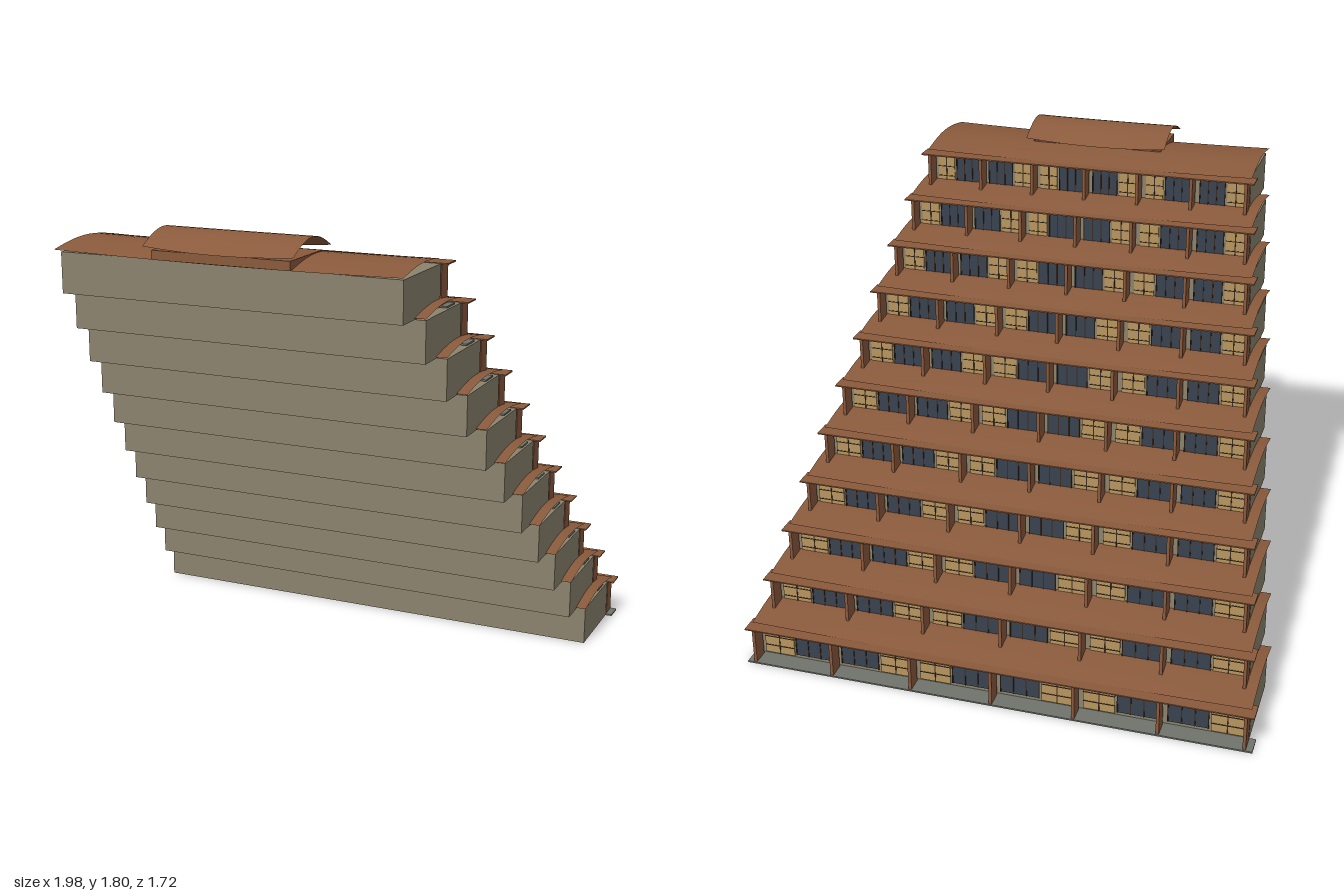
import * as THREE from 'three';

const mat = (name, color, side = THREE.FrontSide) => {
  const m = new THREE.MeshStandardMaterial({ color, side });
  m.name = name;
  return m;
};

export function createModel() {
  const wall = mat('stone wall', 0x8b836d);
  const timber = mat('brown timber', 0x8a5a3c);
  const tile = mat('brown roof', 0x8a5a3c, THREE.DoubleSide);
  tile.name = 'brown roof';
  const glass = mat('dark glass', 0x39424f);
  const panel = mat('tan panel', 0xb8965f);
  const frame = mat('dark frame', 0x3a2a20);
  const terrace = mat('grey terrace', 0x6f746c);

  const model = new THREE.Group();
  model.name = 'steppedBuilding';

  // box given by its min and max corners
  function box(parent, name, material, x0, x1, y0, y1, z0, z1) {
    const mesh = new THREE.Mesh(new THREE.BoxGeometry(x1 - x0, y1 - y0, z1 - z0), material);
    mesh.position.set((x0 + x1) / 2, (y0 + y1) / 2, (z0 + z1) / 2);
    mesh.name = name;
    parent.add(mesh);
    return mesh;
  }

  // arched sheet whose eaves lift towards both ends
  function archedRoof(parent, name, half, z0, z1, y, rise, lift) {
    const geo = new THREE.PlaneGeometry(2 * half, z1 - z0, 12, 14);
    geo.rotateX(-Math.PI / 2);
    const p = geo.attributes.position;
    for (let i = 0; i < p.count; i++) {
      const u = p.getX(i) / half;
      const arch = Math.cos((p.getZ(i) / (z1 - z0)) * Math.PI);
      p.setY(i, rise * arch + lift * u * u * (1 - arch));
    }
    geo.computeVertexNormals();
    const mesh = new THREE.Mesh(geo, tile);
    mesh.position.set(0, y, (z0 + z1) / 2);
    mesh.name = name;
    parent.add(mesh);
  }

  const floors = 11, bays = 6, pitch = 0.1545;
  for (let i = 0; i < floors; i++) {
    const floor = new THREE.Group();
    floor.name = 'floor' + (i + 1);
    floor.position.set(0, i * pitch, i * 0.1255);
    model.add(floor);
    const w = 0.965 - i * 0.031;

    // body, terrace and flat eave
    box(floor, 'body', wall, -w, w, 0.002, 0.152, -0.785, -0.45);
    box(floor, 'terraceSlab', terrace, -w - 0.025, w + 0.025, 0, 0.006, -0.862, -0.785);
    box(floor, 'eaveSlab', timber, -w - 0.026, w + 0.026, 0.149, 0.154, -0.864, -0.785);
    archedRoof(floor, 'roof', w + 0.01, -0.825, -0.42, 0.155, 0.032, 0.008);

    // fins between the bays
    const bay = (2 * w) / bays;
    for (let k = 0; k <= bays; k++) {
      const x = -w + 0.006 + (k * (2 * w - 0.012)) / bays;
      box(floor, 'fin', timber, x - 0.006, x + 0.006, 0.006, 0.149, -0.857, -0.795);
    }

    // windows, panels and frames of each bay
    for (let k = 0; k < bays; k++) {
      const group = new THREE.Group();
      group.name = 'bay' + (k + 1);
      group.position.x = -w + (k + 0.5) * bay;
      floor.add(group);
      const s = k % 2 ? 1 : -1;
      const h = bay / 2 - 0.02;
      const strip = (name, m, a, b, y0, y1, z0, z1) =>
        box(group, name, m, Math.min(s * a, s * b), Math.max(s * a, s * b), y0, y1, z0, z1);
      strip('window', glass, -h, 0.01, 0.02, 0.125, -0.79, -0.785);
      strip('panel', panel, 0.02, h, 0.012, 0.125, -0.79, -0.785);
      for (let j = 0; j < 4; j++) {
        const x = -h + (j * (h + 0.01)) / 3;
        strip('mullion', frame, x - 0.002, x + 0.002, 0.02, 0.125, -0.793, -0.789);
      }
      for (const y of [0.045, 0.085]) {
        strip('panelBatten', frame, 0.02, h, y, y + 0.003, -0.792, -0.789);
      }
      strip('panelPost', frame, 0.02 + (h - 0.02) / 2 - 0.002, 0.02 + (h - 0.02) / 2 + 0.002,
        0.012, 0.125, -0.792, -0.789);
      strip('lintel', frame, -h, h, 0.125, 0.13, -0.793, -0.785);
    }
  }

  // raised pavilion on the top floor
  const pavilion = new THREE.Group();
  pavilion.name = 'pavilion';
  model.add(pavilion);
  box(pavilion, 'pavilionBody', timber, -0.265, 0.265, 1.702, 1.735, 0.59, 0.84);
  archedRoof(pavilion, 'pavilionRoof', 0.287, 0.56, 0.86, 1.737, 0.063, 0.013);

  return model;
}
